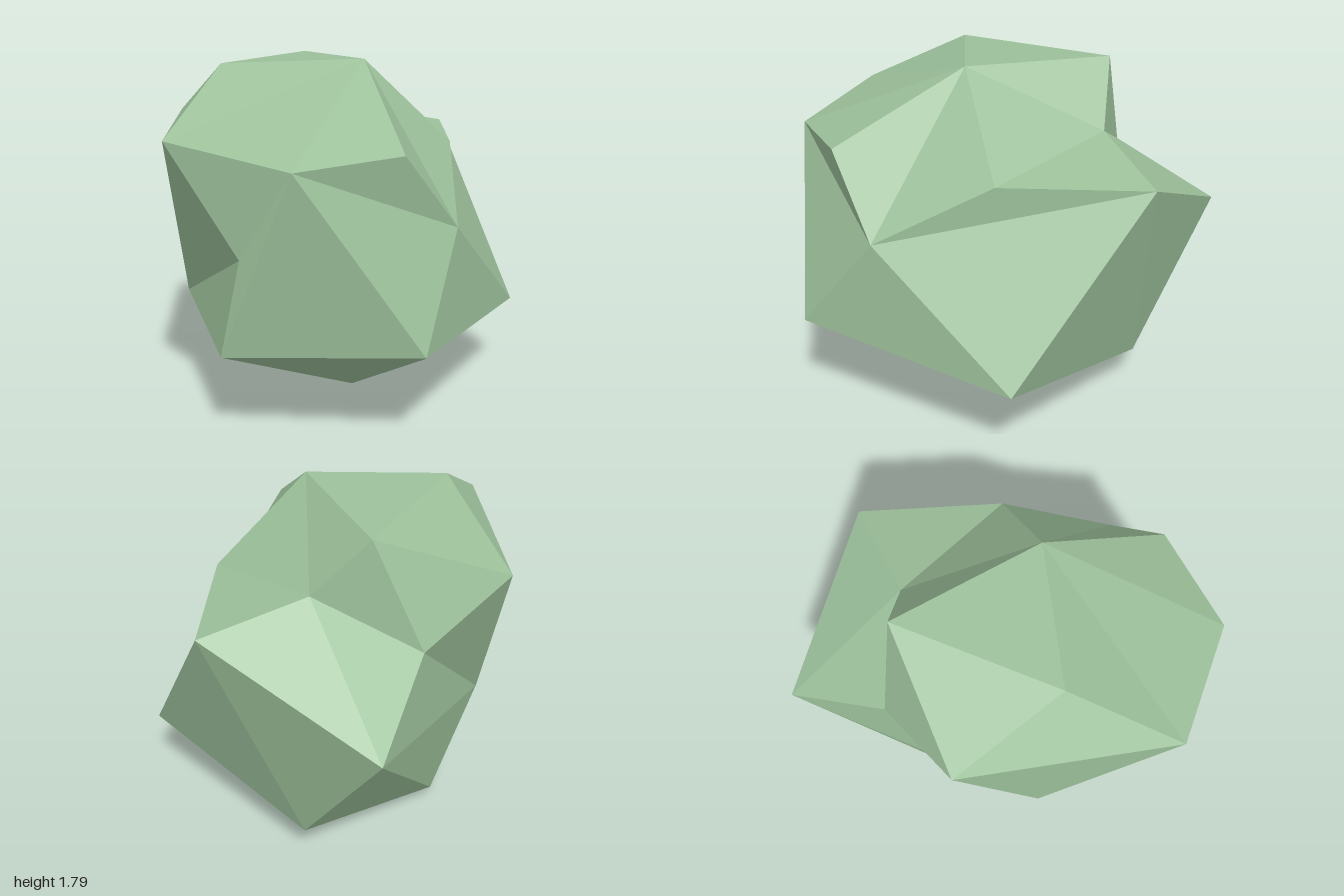
import * as THREE from 'three';

// Named corners of the boulder
const corners = {
  // crown
  peak: [0.235, 1.79, 0.05], brow: [-0.4, 1.77, 0.395], ridge: [-0.378, 1.76, -0.473],
  notch: [-0.1, 1.45, -0.563], shoulder: [0.585, 1.34, -0.29], cheek: [0.675, 1.42, 0.56],
  frontA: [-0.35, 1.475, 0.99], frontB: [0.32, 1.39, 0.99], wing: [-0.895, 1.46, 0.035],
  // waist
  dent: [0.04, 0.955, 0.98], side: [0.83, 1.03, 0.255], backTop: [0.275, 1.335, -0.975],
  backTip: [-0.68, 0.95, -1], pocket: [-0.64, 1.22, -0.445],
  // lower ring
  flank: [-0.65, 0.53, 0.39], chin: [-0.06, 0.47, 1], sideA: [0.845, 0.515, 0.68],
  sideB: [0.89, 0.43, -0.53], tail: [-0.156, 0.19, -0.77],
  heel: [-0.56, 0.07, -0.03], foot: [0.18, 0, 0.05],
};

// Facets grouped as fans: a hub followed by its rim
const fans = [
  'peak: brow frontA frontB cheek side shoulder notch ridge brow',
  'frontB: frontA dent chin sideA side cheek',
  'wing: frontA brow ridge',
  'pocket: backTip notch ridge wing',
  'backTop: shoulder side sideB tail backTip notch shoulder',
  'flank: chin dent frontA wing pocket backTip heel',
  'side: sideB sideA',
  'tail: backTip heel',
  'foot: chin sideA sideB tail heel flank chin',
];

function rockGeometry() {
  const centre = new THREE.Vector3(0, 0.9, 0);
  const positions = [];
  const point = (name) => new THREE.Vector3(...corners[name]);
  for (const fan of fans) {
    const [hub, rimText] = fan.split(': ');
    const rim = rimText.split(' ');
    for (let i = 0; i < rim.length - 1; i++) {
      const a = point(hub), b = point(rim[i]), c = point(rim[i + 1]);
      // Turn every facet away from the centre
      const normal = b.clone().sub(a).cross(c.clone().sub(a));
      const facesOut = normal.dot(a.clone().sub(centre)) > 0;
      for (const p of facesOut ? [a, b, c] : [a, c, b]) positions.push(p.x, p.y, p.z);
    }
  }
  const geometry = new THREE.BufferGeometry();
  geometry.setAttribute('position', new THREE.Float32BufferAttribute(positions, 3));
  geometry.computeVertexNormals(); // unshared corners give flat facets
  return geometry;
}

export function createModel() {
  const group = new THREE.Group();
  group.name = 'boulder';
  const stone = new THREE.MeshStandardMaterial({ color: 0x9cc09a });
  stone.name = 'mossy green';
  const rock = new THREE.Mesh(rockGeometry(), stone);
  rock.name = 'rock';
  group.add(rock);
  return group;
}
